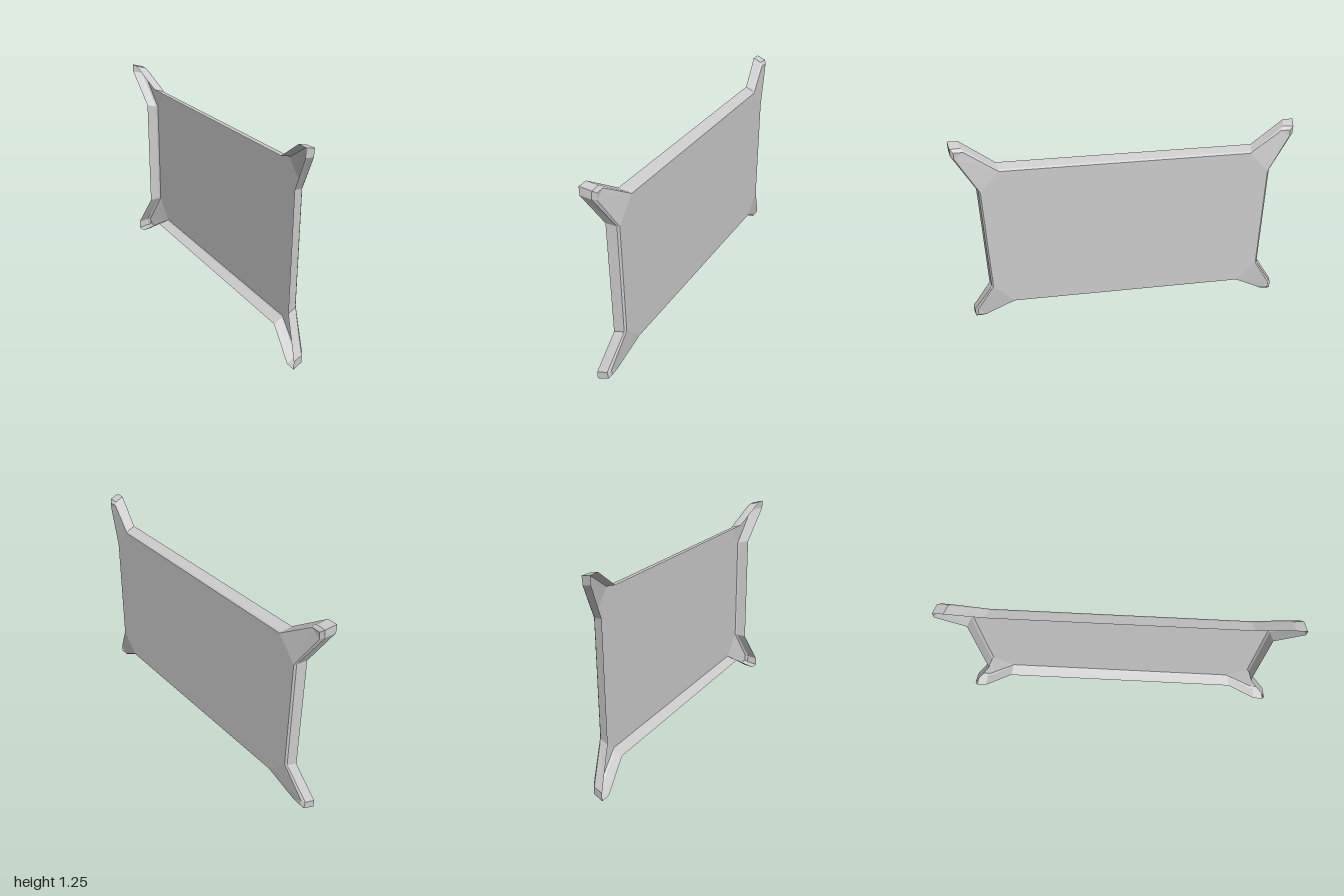
import * as THREE from 'three';

const MID_Y = 0.6275; // height of the tray's centre

// One corner of each outline as [z, y from centre, x]:
// side end, arm tip (side, corner, top), top-edge end
const RIM = [
  [0.873, 0.36, -0.015], [1, 0.577, -0.057], [1, 0.6275, -0.057],
  [0.94, 0.6275, -0.057], [0.745, 0.5, -0.015]];
const SHOULDER = [
  [0.857, 0.35, 0.042], [0.987, 0.565, 0.002], [0.985, 0.612, 0.007],
  [0.925, 0.612, 0.002], [0.733, 0.484, 0.042]];
const FLOOR = [
  [0.846, 0.345, 0.052], [0.967, 0.556, 0.018], [0.965, 0.594, 0.02],
  [0.912, 0.594, 0.018], [0.727, 0.476, 0.052]];

// Mirrors a corner into a closed ring, counter-clockwise seen from +x
function ring(corner) {
  const points = [];
  for (const [sz, sy] of [[-1, 1], [1, 1], [1, -1], [-1, -1]]) {
    const quarter = corner.map(([z, y, x]) => new THREE.Vector3(x, MID_Y + sy * y, sz * z));
    if (sz * sy > 0) quarter.reverse();
    points.push(...quarter);
  }
  return points;
}

function facetedMesh(name, triangles, material) {
  const geometry = new THREE.BufferGeometry().setFromPoints(triangles);
  geometry.computeVertexNormals();
  const mesh = new THREE.Mesh(geometry, material);
  mesh.name = name;
  return mesh;
}

// Band of quads joining two rings
function band(a, b) {
  const out = [];
  a.forEach((p, i) => {
    const j = (i + 1) % a.length;
    out.push(p, a[j], b[j], p, b[j], b[i]);
  });
  return out;
}

// Fan over a convex outline
function fan(points) {
  const out = [];
  for (let i = 1; i < points.length - 1; i++) out.push(points[0], points[i], points[i + 1]);
  return out;
}

export function createModel() {
  const group = new THREE.Group();
  group.name = 'fourArmedTray';
  const material = new THREE.MeshStandardMaterial({
    color: 0xcccccc, flatShading: true, side: THREE.DoubleSide });

  const rim = ring(RIM), shoulder = ring(SHOULDER), floor = ring(FLOOR);

  // Flared wall and the narrow bevel round the face
  group.add(facetedMesh('wall', band(rim, shoulder), material));
  group.add(facetedMesh('bevel', band(shoulder, floor), material));

  // Flat eight-sided panel
  const panel = floor.filter((p, i) => i % 5 === 0 || i % 5 === 4);
  group.add(facetedMesh('panel', fan(panel), material));

  // Sloping faces of the four corner arms
  for (let k = 0; k < 4; k++) {
    const [a, b, c, d, e] = floor.slice(k * 5, k * 5 + 5);
    group.add(facetedMesh('cornerArm' + (k + 1), [...fan([a, b, d, e]), b, c, d], material));
  }
  return group;
}
